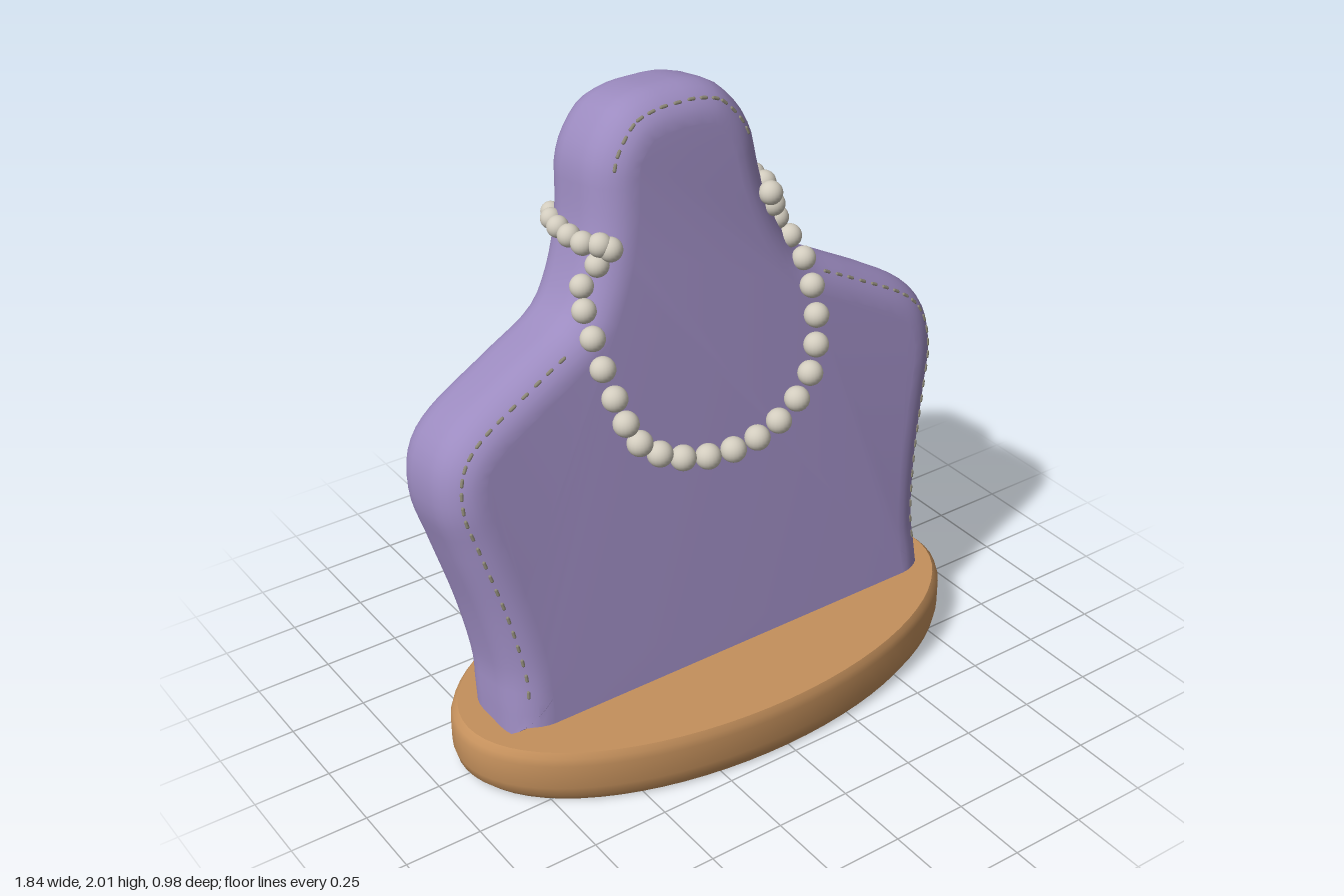
import * as THREE from 'three';
import { mergeGeometries, toCreasedNormals } from 'three/addons/utils/BufferGeometryUtils.js';

const material = (name, color) => {
  const m = new THREE.MeshStandardMaterial({ color });
  m.name = name;
  return m;
};

export function createModel() {
  const fabric = material('lilac fabric', 0x9c8bc0);
  const wood = material('warm wood', 0xc4905c);
  const pearl = material('pearl', 0xd2ccbe);
  const thread = material('thread', 0x8f8a78);

  const model = new THREE.Group();
  model.name = 'necklaceBust';
  const add = (parent, name, geometry, mat) => {
    const mesh = new THREE.Mesh(geometry, mat);
    mesh.name = name;
    parent.add(mesh);
    return mesh;
  };

  // Oval wooden base with softened edges
  const baseProfile = [[0, 0], [0.88, 0], [0.905, 0.025], [0.915, 0.06], [0.915, 0.145], [0.907, 0.168], [0.89, 0.185], [0, 0.185]]
    .map(([x, y]) => new THREE.Vector2(x, y));
  const baseGeometry = new THREE.LatheGeometry(baseProfile, 72);
  baseGeometry.scale(1, 1, 0.472 / 0.915);
  add(model, 'base', toCreasedNormals(baseGeometry, 0.7), wood).position.z = 0.007;

  // Padded bust: mirrored outline with a rounded edge, leaning back
  const lean = 0.168;
  const bust = new THREE.Group();
  bust.name = 'bust';
  bust.rotation.x = -lean;
  bust.position.z = 0.041;
  model.add(bust);

  const half = [
    [0.807, 0.16], [0.803, 0.27], [0.8, 0.38], [0.83, 0.57], [0.885, 0.79], [0.92, 0.94], [0.9, 1.08],
    [0.81, 1.185], [0.6, 1.3], [0.44, 1.386], [0.37, 1.48], [0.32, 1.61], [0.3, 1.72], [0.29, 1.8],
    [0.255, 1.88], [0.18, 1.96], [0.09, 1.99],
  ];
  const mirrored = half.map(([x, y]) => [-x, y]).reverse();
  const outline = new THREE.SplineCurve([...half, [0, 1.995], ...mirrored]
    .map(([x, y]) => new THREE.Vector2(x, y / Math.cos(lean))));
  outline.arcLengthDivisions = 600;

  const depth = 0.105, roundDepth = 0.13, roundInset = 0.12;
  const bodyGeometry = new THREE.ExtrudeGeometry(new THREE.Shape(outline.getSpacedPoints(120)), {
    depth, steps: 1, bevelEnabled: true, bevelThickness: roundDepth,
    bevelSize: roundInset, bevelOffset: -roundInset, bevelSegments: 8,
  });
  bodyGeometry.translate(0, 0, -depth / 2);
  add(bust, 'body', toCreasedNormals(bodyGeometry, 0.6), fabric);

  // Dashed seams along the front and back of the rounded edge
  const stitches = [];
  const seamAngle = 0.95, count = 92;
  for (let i = 0; i <= count; i++) {
    const p = outline.getPointAt(i / count);
    if (p.y < 0.31 || (p.y > 1.37 && p.y < 1.84)) continue;
    const t = outline.getTangentAt(i / count);
    const inset = roundInset * (1 - Math.cos(seamAngle));
    for (const side of [-1, 1]) {
      const stitch = new THREE.CapsuleGeometry(0.006, 0.016, 3, 6);
      stitch.rotateZ(Math.atan2(t.y, t.x) - Math.PI / 2);
      stitch.translate(p.x - t.y * inset, p.y + t.x * inset, side * (depth / 2 + roundDepth * Math.sin(seamAngle)));
      stitches.push(stitch);
    }
  }
  add(bust, 'seamStitches', mergeGeometries(stitches), thread);

  // Pearl strand: a loop round the nape, past the neck and over the chest
  const strand = new THREE.CatmullRomCurve3([
    [0, 1.55, -0.475], [0.175, 1.555, -0.46], [0.3, 1.6, -0.37], [0.34, 1.63, -0.215], [0.285, 1.64, -0.055],
    [0.345, 1.525, -0.1], [0.39, 1.405, -0.02], [0.375, 1.25, 0.07], [0.325, 1.08, 0.11], [0.195, 0.96, 0.125],
    [0.015, 0.925, 0.135], [-0.165, 0.955, 0.125], [-0.31, 1.05, 0.11], [-0.375, 1.21, 0.08], [-0.395, 1.38, 0],
    [-0.365, 1.5, -0.1], [-0.285, 1.61, -0.065], [-0.345, 1.625, -0.12], [-0.345, 1.625, -0.255],
    [-0.28, 1.6, -0.4], [-0.14, 1.555, -0.465],
  ].map((p) => new THREE.Vector3(...p)), true, 'catmullrom', 0.5);

  const necklace = new THREE.Group();
  necklace.name = 'necklace';
  model.add(necklace);
  const beadGeometry = new THREE.SphereGeometry(1, 20, 14);
  const beads = strand.points.length * 2;
  for (let i = 1; i < beads; i++) {
    const bead = add(necklace, 'pearl', beadGeometry, pearl);
    bead.position.copy(strand.getPoint(i / beads));
    // Pearls grow towards the chest
    bead.scale.setScalar(THREE.MathUtils.mapLinear(bead.position.z, -0.475, 0.135, 0.03, 0.041));
  }

  // Clasp at the nape
  const clasp = add(necklace, 'clasp', beadGeometry, wood);
  clasp.position.copy(strand.points[0]);
  clasp.scale.set(0.04, 0.027, 0.027);

  return model;
}
